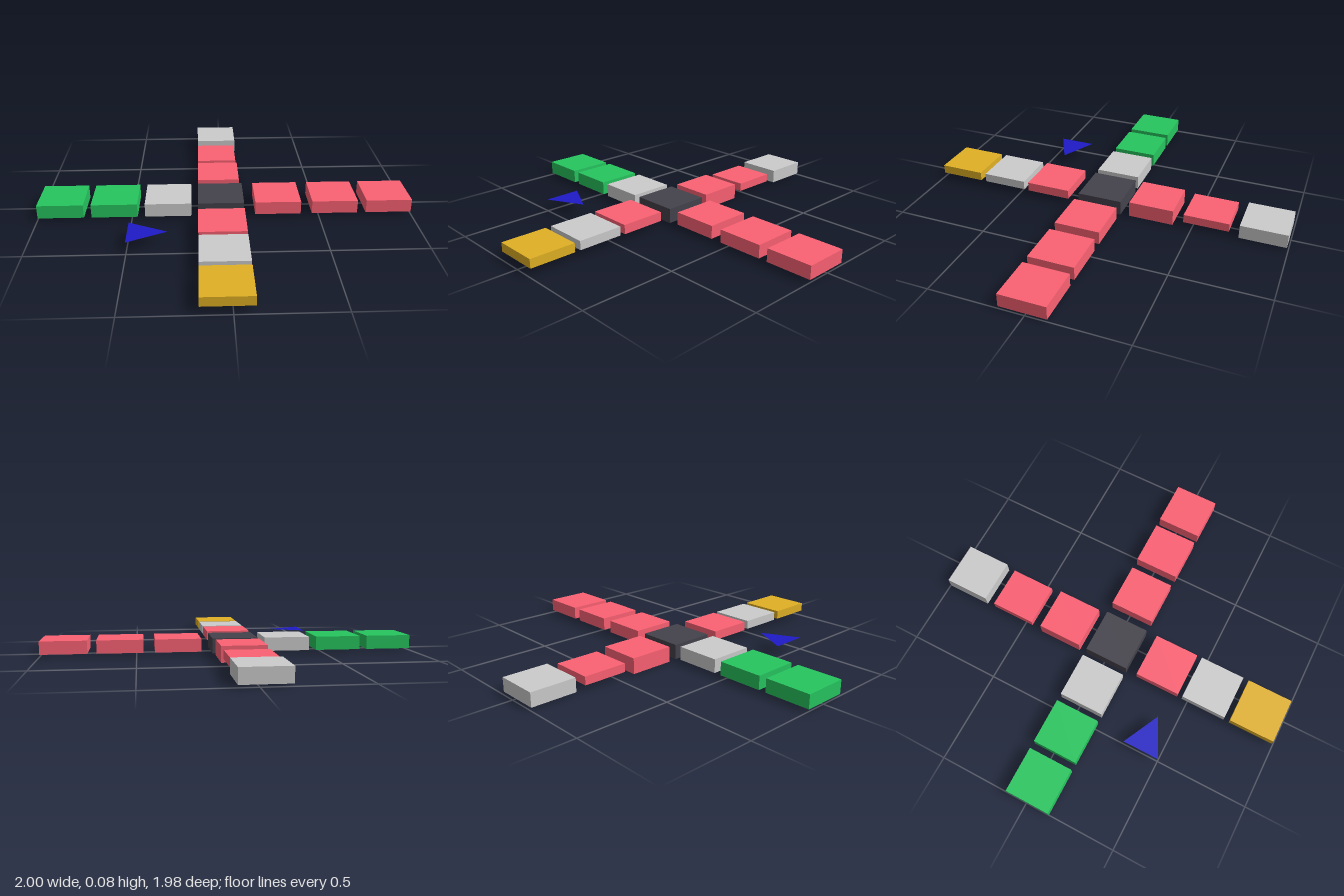
import * as THREE from 'three';

const GREY = 0xcccccc, RED = 0xfb6173, GREEN = 0x26c55f, DARK = 0x44424b, GOLD = 0xe0b024, BLUE = 0x1e1bc6;

export function createModel() {
  const model = new THREE.Group();
  model.name = 'crossOfTiles';

  // One flat tile given by its x, y and z ranges
  function tile(parent, name, color, [x0, x1], [y0, y1], [z0, z1]) {
    const mesh = new THREE.Mesh(
      new THREE.BoxGeometry(x1 - x0, y1 - y0, z1 - z0),
      new THREE.MeshStandardMaterial({ color, flatShading: true })
    );
    mesh.position.set((x0 + x1) / 2, (y0 + y1) / 2, (z0 + z1) / 2);
    mesh.name = name;
    parent.add(mesh);
  }

  // Row of tiles along x, with the dark hub tile where the rows cross
  const row = new THREE.Group();
  row.name = 'crossRow';
  const rowZ = [-0.11, 0.133];
  [
    ['outerRightTile', GREEN, -1, 0.01],
    ['middleRightTile', GREEN, -0.715, 0.01],
    ['innerRightTile', GREY, -0.43, 0.01],
    ['hubTile', DARK, -0.147, 0.003],
    ['innerLeftTile', RED, 0.158, 0.013],
    ['middleLeftTile', RED, 0.463, 0.013],
    ['outerLeftTile', RED, 0.755, 0.013],
  ].forEach(([name, color, x, bottom]) => tile(row, name, color, [x, x + 0.245], [bottom, 0.083], rowZ));

  // Column of tiles along z, front to back, slightly varied in width and height
  const column = new THREE.Group();
  column.name = 'crossColumn';
  [
    ['frontTile', GOLD, 0.097, [0.036, 0.084], [0.743, 0.988]],
    ['middleFrontTile', GREY, 0.097, [0.036, 0.084], [0.467, 0.712]],
    ['innerFrontTile', RED, 0.097, [0.034, 0.084], [0.196, 0.44]],
    ['innerBackTile', RED, 0.086, [0, 0.084], [-0.397, -0.155]],
    ['middleBackTile', RED, 0.081, [0.028, 0.073], [-0.695, -0.453]],
    ['backTile', GREY, 0.09, [0.01, 0.084], [-0.992, -0.748]],
  ].forEach(([name, color, x1, y, z]) => tile(column, name, color, [-0.147, x1], y, z));
  model.add(row, column);

  // Thin triangular pointer lying flat beside the hub
  const shape = new THREE.Shape([
    new THREE.Vector2(-0.5, -0.5),
    new THREE.Vector2(-0.3, -0.4),
    new THREE.Vector2(-0.5, -0.3),
  ]);
  const pointer = new THREE.Mesh(
    new THREE.ShapeGeometry(shape).rotateX(-Math.PI / 2),
    new THREE.MeshStandardMaterial({ color: BLUE, side: THREE.DoubleSide })
  );
  pointer.position.y = 0.067;
  pointer.name = 'pointer';
  model.add(pointer);

  return model;
}
